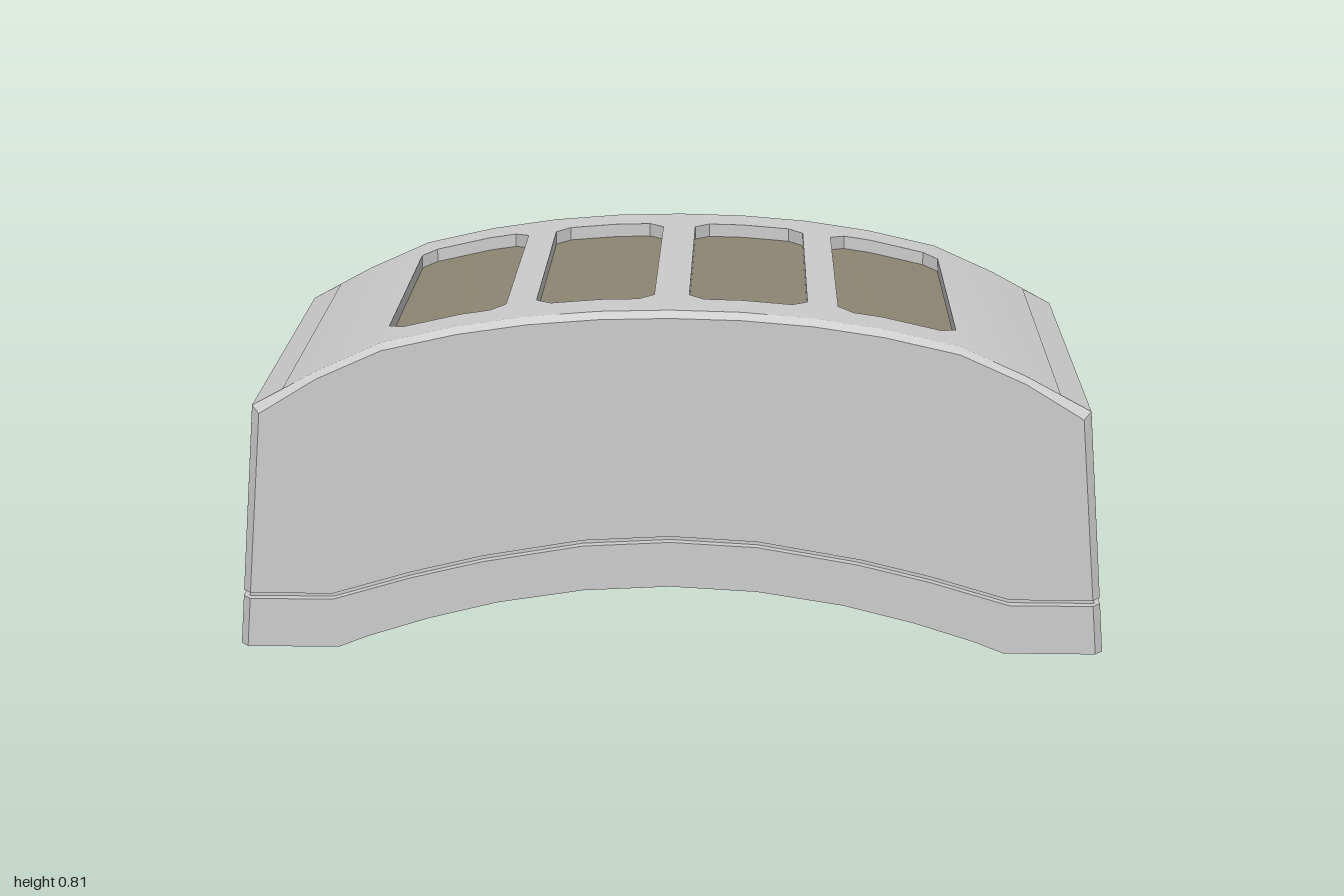
import * as THREE from 'three';
import { mergeGeometries, toCreasedNormals } from 'three/addons/utils/BufferGeometryUtils.js';

const grey = new THREE.MeshStandardMaterial({ color: 0xcccccc });
const olive = new THREE.MeshStandardMaterial({ color: 0x8c8672 });

// Half profiles of the arched body, from the middle outwards
const TOP = [[0, 0.81], [0.16, 0.806], [0.32, 0.793], [0.48, 0.769], [0.65, 0.73], [0.8, 0.662], [0.95, 0.58]];
const UNDER = [[0, 0.157], [0.2, 0.146], [0.4, 0.114], [0.56, 0.073], [0.7, 0.028], [0.77, 0]];
const SEAM = [[0, 0.265], [0.2, 0.254], [0.43, 0.214], [0.6, 0.172], [0.78, 0.118]];
const END = 0.88;      // where the core stops and the end caps start
const FACE = 0.475;    // where the front and back plates start
const SKIN = 0.035;    // depth of the windows

const sideX = y => 1 - 0.086 * y;
const mirrored = half => [...half.slice(1).reverse().map(([x, y]) => [-x, y]), ...half];

function topY(x) {
  const a = Math.abs(x);
  let i = 0;
  while (i < TOP.length - 2 && a > TOP[i + 1][0]) i++;
  const [x0, y0] = TOP[i], [x1, y1] = TOP[i + 1];
  return y0 + (y1 - y0) * (a - x0) / (x1 - x0);
}

function topLine(x0, x1) {
  const inner = mirrored(TOP).map(p => p[0]).filter(x => x > x0 + 1e-4 && x < x1 - 1e-4);
  return [x0, ...inner, x1].map(x => [x, topY(x)]);
}

function extrude(points, depth) {
  const shape = new THREE.Shape(points.map(p => new THREE.Vector2(p[0], p[1])));
  return new THREE.ExtrudeGeometry(shape, { depth, bevelEnabled: false });
}

function moveVertices(geometry, rule) {
  const pos = geometry.attributes.position;
  for (let i = 0; i < pos.count; i++) pos.setXYZ(i, ...rule(pos.getX(i), pos.getY(i), pos.getZ(i)));
  return geometry;
}

function part(name, geometry, material = grey) {
  const mesh = new THREE.Mesh(toCreasedNormals(geometry, 0.4), material);
  mesh.name = name;
  return mesh;
}

// Curved strip that follows the roof
function roofStrip(x0, x1, z0, z1, drop, thick) {
  const line = topLine(x0, x1).map(([x, y]) => [x, y - drop]);
  const below = line.map(([x, y]) => [x, y - thick]).reverse();
  return extrude([...line, ...below], z1 - z0).translate(0, 0, z0);
}

// Roof skin with four windows, and the window floors
function makeRoof(group) {
  const windows = [[-0.65, -0.38], [-0.31, -0.04], [0.04, 0.31], [0.38, 0.65]];
  const halfZ = 0.37, cut = 0.035, pieces = [];
  let last = -END;
  for (const [a, b] of windows) {
    pieces.push(roofStrip(last, a, -FACE, FACE, 0, SKIN + 0.005));
    last = b;
    for (const s of [-1, 1]) {
      pieces.push(s > 0 ? roofStrip(a, b, halfZ, FACE, 0, SKIN + 0.005)
        : roofStrip(a, b, -FACE, -halfZ, 0, SKIN + 0.005));
      // chamfered window corners
      for (const [x, d] of [[a, cut], [b, -cut]]) {
        const wedge = extrude([[x, s * halfZ], [x + d, s * halfZ], [x, s * (halfZ - cut)]], SKIN);
        wedge.rotateX(Math.PI / 2);
        pieces.push(moveVertices(wedge, (px, py, pz) => [px, py + topY(px), pz]));
      }
    }
    group.add(part('windowFloor', roofStrip(a, b, -halfZ, halfZ, SKIN - 0.003, 0.01), olive));
  }
  pieces.push(roofStrip(last, END, -FACE, FACE, 0, SKIN + 0.005));
  group.add(part('roofSkin', mergeGeometries(pieces)));
}

// Front or back plate with a chamfered outer edge
function facePlate(points) {
  const geometry = extrude(points, 0.02);
  return moveVertices(geometry, (x, y, z) => {
    if (z < 0.01) return [x, y, FACE];
    const nx = Math.abs(x) > 0.94 ? x - Math.sign(x) * 0.018 : x;
    return [nx, y > 0.55 ? y - 0.014 : y, FACE + z];
  });
}

// End cap: outline in z and y, stretched from the core to the sloping side
function endCap(half, inset) {
  const outline = [...half, ...half.map(([z, y]) => [-z, y]).reverse()];
  return moveVertices(extrude(outline, 1), (u, y, w) => [
    w > 0.5 ? sideX(y) - inset : END - 0.002,
    y > 0.57 && w < 0.5 ? topY(END) : y,
    -u,
  ]);
}

// Triangle with cut corners, pointing to +x
function cutTriangle(inner, outer) {
  const points = [];
  for (let k = 0; k < 6; k++) {
    const a = k * Math.PI / 3, b = a + Math.PI / 3;
    const da = k % 2 ? inner : outer, db = k % 2 ? outer : inner;
    const det = Math.sin(b - a);
    points.push(new THREE.Vector2((da * Math.sin(b) - db * Math.sin(a)) / det,
      (db * Math.cos(a) - da * Math.cos(b)) / det));
  }
  return points;
}

function makeConnector() {
  const group = new THREE.Group();
  group.name = 'connector';
  const slab = (points, hole, y0, y1) => {
    const shape = new THREE.Shape(points);
    if (hole) shape.holes.push(new THREE.Path(hole));
    return new THREE.ExtrudeGeometry(shape, { depth: y1 - y0, bevelEnabled: false })
      .rotateX(-Math.PI / 2).translate(0, y0, 0);
  };
  group.add(part('connectorBase', slab(cutTriangle(0.163, 0.207), null, 0.09, 0.18)));
  group.add(part('connectorRim', slab(cutTriangle(0.098, 0.152), cutTriangle(0.08, 0.127), 0.075, 0.095)));
  for (let k = 0; k < 3; k++) {
    const a = k * Math.PI * 2 / 3;
    const profile = [[0, 0.028], [0.012, 0.028], [0.018, 0.036], [0.018, 0.1]].map(p => new THREE.Vector2(...p));
    const pin = part('pin', new THREE.LatheGeometry(profile, 16));
    pin.position.set(0.064 * Math.cos(a), 0, 0.064 * Math.sin(a));
    group.add(pin);
  }
  group.position.x = -0.032;
  return group;
}

export function createModel() {
  const model = new THREE.Group();
  model.name = 'archedHousing';

  // Core with the arched underside
  const under = mirrored(UNDER);
  const roof = topLine(-END, END).map(([x, y]) => [x, y - SKIN]).reverse();
  model.add(part('core', extrude([[-END, 0], ...under, [END, 0], ...roof], 2 * FACE).translate(0, 0, -FACE)));
  makeRoof(model);

  // Front and back plates, split by a seam
  const gap = 0.014, low = 0.118, high = low + gap;
  const seam = mirrored(SEAM);
  const lowerFace = [[-1, 0], ...under, [1, 0], [sideX(low), low], ...seam.slice().reverse(), [-sideX(low), low]];
  const upperFace = [[-sideX(high), high], ...seam.map(([x, y]) => [x, y + gap]), [sideX(high), high],
    ...mirrored(TOP).reverse()];

  // End caps with the notch, split by the same seam
  const lowerEnd = [[0.24, 0.205], [0.37, 0], [FACE, 0], [FACE, low], [0.375, low], [0.277, 0.273]];
  const upperEnd = [[0.27, 0.29], [0.368, 0.135], [FACE, 0.135], [FACE, 0.58]];
  const liner = [[0.24, 0.207], [0.37, 0.002], [FACE, 0.002], [FACE, 0.4]];

  for (const turn of [0, Math.PI]) {
    const side = new THREE.Group();
    side.name = turn ? 'backAndRightSide' : 'frontAndLeftSide';
    side.add(part('lowerFacePlate', facePlate(lowerFace)), part('upperFacePlate', facePlate(upperFace)));
    side.add(part('lowerEndCap', endCap(lowerEnd, 0)), part('upperEndCap', endCap(upperEnd, 0)),
      part('seamLiner', endCap(liner, 0.014)));

    // Sloped fins standing on a ledge inside the notch
    for (let i = -2; i <= 2; i++) {
      const fin = extrude([[END - 0.01, 0.03], [0.945, 0.03], [0.945, 0.118], [END, 0.16], [END - 0.01, 0.16]], 0.04);
      side.add(part('fin', fin.translate(0, 0, i * 0.08 - 0.02)));
    }
    side.add(part('finLedge', new THREE.BoxGeometry(0.055, 0.035, 0.4).translate(END + 0.0225, 0.0175, 0)));
    side.rotation.y = turn;
    model.add(side);
  }

  model.add(makeConnector());
  return model;
}
